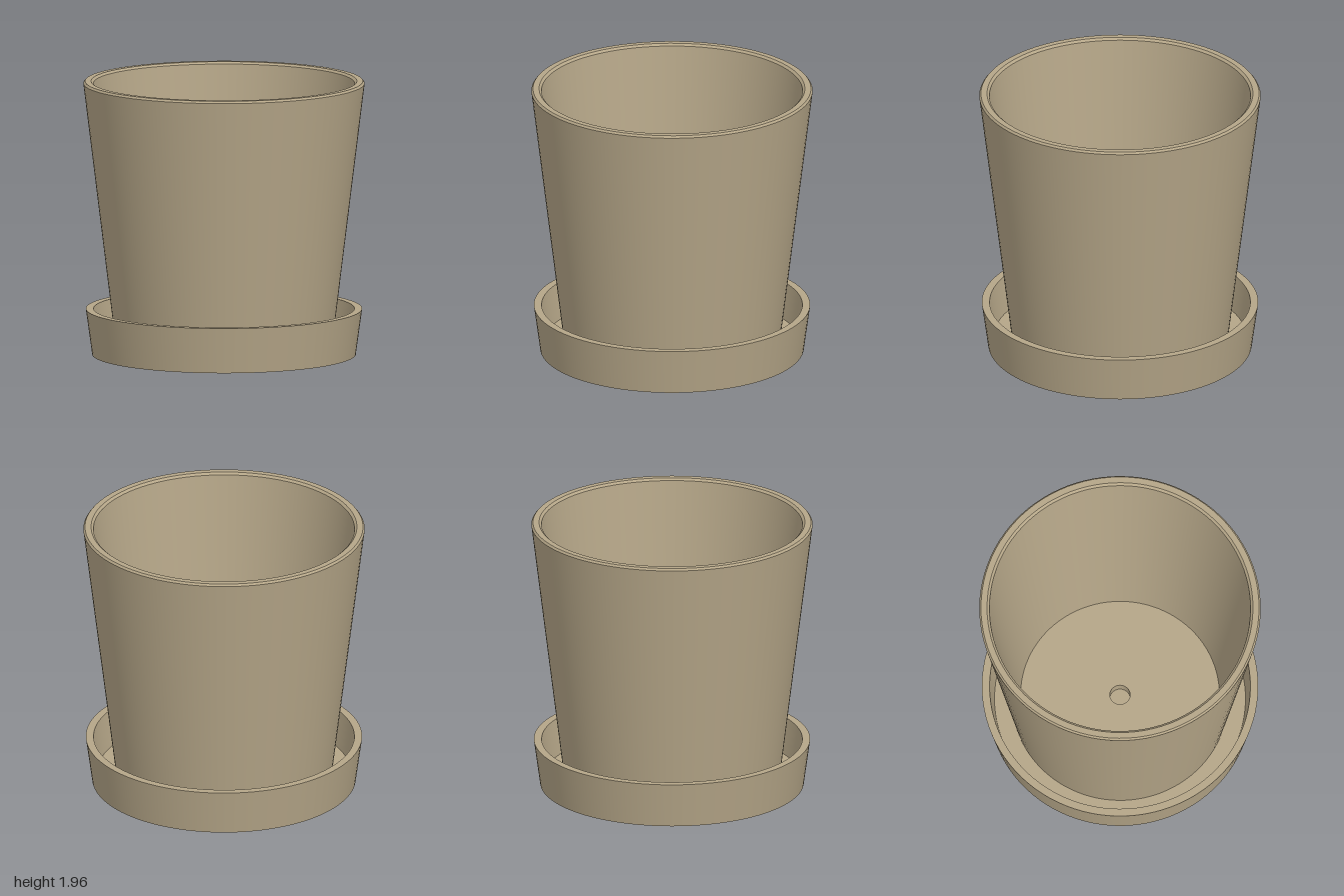
import * as THREE from 'three';
import { mergeGeometries } from 'three/addons/utils/BufferGeometryUtils.js';

const SEGMENTS = 96;

// Turns a profile of [radius, y] points, smooth around the axis but with sharp profile corners.
function turned(name, profile, material) {
  const bands = [];
  for (let i = 0; i < profile.length - 1; i++) {
    const pair = [profile[i], profile[i + 1]].map(([r, y]) => new THREE.Vector2(r, y));
    bands.push(new THREE.LatheGeometry(pair, SEGMENTS));
  }
  const mesh = new THREE.Mesh(mergeGeometries(bands), material);
  mesh.name = name;
  return mesh;
}

export function createModel() {
  const group = new THREE.Group();
  group.name = 'plantPotWithSaucer';
  const clay = new THREE.MeshStandardMaterial({ color: 0xb5a688 });
  clay.name = 'beige clay';

  // Shallow saucer with a flared wall
  group.add(turned('saucer', [
    [0, 0], [0.935, 0], [0.98, 0.327], [0.925, 0.327], [0.89, 0.07], [0, 0.07],
  ], clay));

  // Tapered pot: drain hole, outer wall, bevelled rim, inner wall, floor
  group.add(turned('pot', [
    [0.072, 0.07], [0.768, 0.07], [0.998, 1.942], [0.986, 1.957], [0.943, 1.957],
    [0.926, 1.942], [0.705, 0.15], [0.072, 0.15], [0.072, 0.07],
  ], clay));

  return group;
}
